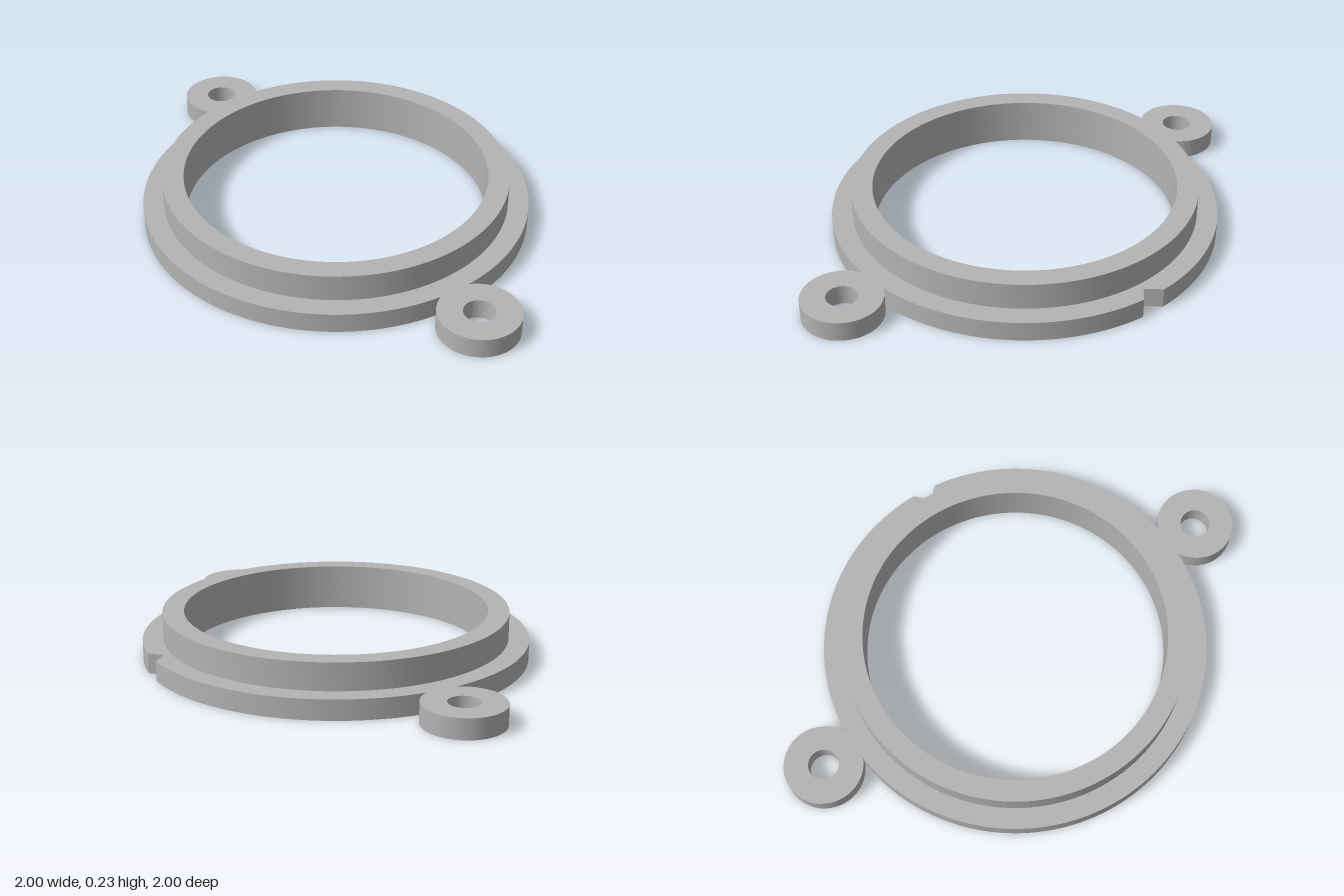
import * as THREE from 'three';
import { toCreasedNormals } from 'three/addons/utils/BufferGeometryUtils.js';

const FLANGE_R = 0.965, BORE_R = 0.757, COLLAR_R = 0.863;
const FLANGE_H = 0.1, TOTAL_H = 0.235;
const EAR_R = 0.195, EAR_HOLE_R = 0.075, EAR_POS = 0.805;
const NOTCH_X = 0.695, NOTCH_Y = 0.575;

function circleHole(x, y, r) {
  const path = new THREE.Path();
  path.absarc(x, y, r, 0, Math.PI * 2, true);
  return path;
}

export function createModel() {
  const model = new THREE.Group();
  model.name = 'mountingRing';

  const grey = new THREE.MeshStandardMaterial({ color: 0xb4b4b4 });
  grey.name = 'grey';

  // Where each ear circle meets the flange circle
  const d = EAR_POS * Math.SQRT2;
  const along = (d * d + FLANGE_R ** 2 - EAR_R ** 2) / (2 * d);
  const half = Math.sqrt(FLANGE_R ** 2 - along ** 2);
  const flangeHalf = Math.atan2(half, along);
  const earHalf = Math.atan2(half, d - along);

  // Flange outline: ear, notch, opposite ear, then back round
  const outline = new THREE.Shape();
  const addEar = (angle) => outline.absarc(
    d * Math.cos(angle), d * Math.sin(angle), EAR_R,
    angle + Math.PI + earHalf, angle + 3 * Math.PI - earHalf, false);
  const addRim = (from, to) => outline.absarc(0, 0, FLANGE_R, from, to, false);

  const earA = -Math.PI / 4, earB = earA + Math.PI;
  addEar(earA);
  addRim(earA + flangeHalf, Math.asin(NOTCH_Y / FLANGE_R));
  outline.lineTo(NOTCH_X, NOTCH_Y);
  addRim(Math.acos(NOTCH_X / FLANGE_R), earB - flangeHalf);
  addEar(earB);
  addRim(earB + flangeHalf, earA + 2 * Math.PI - flangeHalf);
  outline.closePath();

  // Central bore and the screw holes
  outline.holes.push(
    circleHole(0, 0, BORE_R),
    circleHole(EAR_POS, -EAR_POS, EAR_HOLE_R),
    circleHole(-EAR_POS, EAR_POS, EAR_HOLE_R));

  const flangeGeo = new THREE.ExtrudeGeometry(outline, {
    depth: FLANGE_H, bevelEnabled: false, curveSegments: 60,
  });
  flangeGeo.rotateX(-Math.PI / 2);
  const flange = new THREE.Mesh(toCreasedNormals(flangeGeo, 0.5), grey);
  flange.name = 'flangeWithEars';
  model.add(flange);

  // Raised collar, open where it sits on the flange
  const profile = [
    [COLLAR_R, FLANGE_H], [COLLAR_R, TOTAL_H], [BORE_R, TOTAL_H], [BORE_R, FLANGE_H],
  ].map(([r, y]) => new THREE.Vector2(r, y));
  const collar = new THREE.Mesh(
    toCreasedNormals(new THREE.LatheGeometry(profile, 120), 0.5), grey);
  collar.name = 'collar';
  model.add(collar);

  return model;
}
